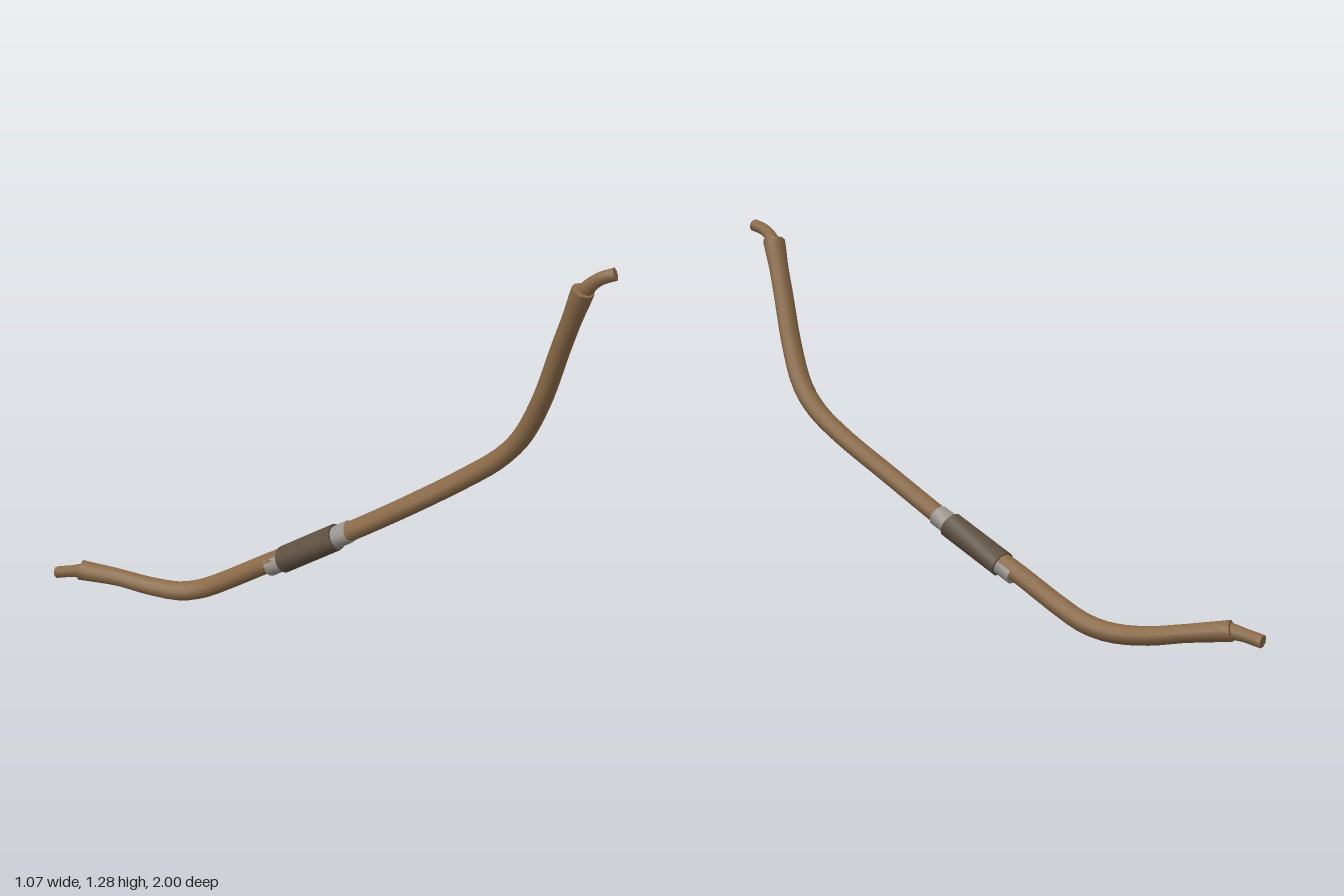
import * as THREE from 'three';

const V = (x, y, z) => new THREE.Vector3(x, y, z);
// sideways direction, square to the plane in which the limbs bend
const SIDE = V(0.74, 0.34, -0.59).normalize();

// Lofts an oval section along a curve; sizes holds [u, width, thickness] stops.
function loft(curve, sizes, steps, sides) {
  const pos = [], idx = [], caps = [];
  for (let i = 0; i <= steps; i++) {
    const u = i / steps;
    const p = curve.getPointAt(u), d = curve.getTangentAt(u);
    const n = SIDE.clone().addScaledVector(d, -SIDE.dot(d)).normalize();
    const t = d.clone().cross(n);
    let k = 0;
    while (k < sizes.length - 2 && u > sizes[k + 1][0]) k++;
    const [a, b] = [sizes[k], sizes[k + 1]];
    const f = (u - a[0]) / (b[0] - a[0]);
    const w = THREE.MathUtils.lerp(a[1], b[1], f) / 2, h = THREE.MathUtils.lerp(a[2], b[2], f) / 2;
    const ring = [];
    for (let j = 0; j < sides; j++) {
      const g = j / sides * Math.PI * 2;
      const q = p.clone().addScaledVector(n, Math.cos(g) * w).addScaledVector(t, Math.sin(g) * h);
      ring.push(q);
      pos.push(q.x, q.y, q.z);
      if (i < steps) {
        const A = i * sides + j, B = i * sides + (j + 1) % sides;
        idx.push(A, B, B + sides, A, B + sides, A + sides);
      }
    }
    if (i === 0 || i === steps) caps.push({ p, ring });
  }
  // flat ends with their own vertices
  caps.forEach(({ p, ring }, e) => {
    const c = pos.length / 3;
    [p, ...ring].forEach(q => pos.push(q.x, q.y, q.z));
    for (let j = 0; j < sides; j++) {
      const A = c + 1 + j, B = c + 1 + (j + 1) % sides;
      if (e) idx.push(c, A, B); else idx.push(c, B, A);
    }
  });
  const geo = new THREE.BufferGeometry();
  geo.setAttribute('position', new THREE.Float32BufferAttribute(pos, 3));
  geo.setIndex(idx);
  geo.computeVertexNormals();
  return geo;
}

export function createModel() {
  const material = (name, color) => {
    const m = new THREE.MeshStandardMaterial({ color });
    m.name = name;
    return m;
  };
  const wood = material('brown wood', 0x8a6a48);
  const leather = material('dark leather', 0x5e5040);
  const metal = material('grey metal', 0x9c9690);

  const bow = new THREE.Group();
  bow.name = 'bow';
  const add = (name, geo, mat) => {
    const mesh = new THREE.Mesh(geo, mat);
    mesh.name = name;
    bow.add(mesh);
  };

  // curved stave from the low back end to the high front end
  const stave = new THREE.CatmullRomCurve3([
    V(-0.455, 0.095, -0.895), V(-0.348, 0.073, -0.8), V(-0.258, 0.047, -0.7), V(-0.181, 0.039, -0.6),
    V(-0.122, 0.058, -0.53), V(-0.074, 0.097, -0.45), V(0.015, 0.187, -0.275), V(0.093, 0.254, -0.137),
    V(0.157, 0.315, -0.02), V(0.271, 0.436, 0.2), V(0.385, 0.557, 0.395), V(0.437, 0.633, 0.51),
    V(0.461, 0.71, 0.595), V(0.467, 0.84, 0.69), V(0.466, 1.03, 0.79), V(0.465, 1.21, 0.89),
  ]);
  add('stave', loft(stave, [
    [0, 0.092, 0.07], [0.02, 0.085, 0.066], [0.06, 0.076, 0.06], [0.2, 0.088, 0.068], [0.4, 0.093, 0.066],
    [0.65, 0.094, 0.066], [0.8, 0.09, 0.067], [0.96, 0.086, 0.065], [0.98, 0.094, 0.072], [1, 0.098, 0.075],
  ], 64, 12), wood);

  // wrapped grip with a metal band at each end
  const center = V(0.093, 0.252, -0.137), axis = V(0.446, 0.43, 0.785).normalize();
  const straight = (a, b, w, h) => loft(
    new THREE.LineCurve3(center.clone().addScaledVector(axis, a), center.clone().addScaledVector(axis, b)),
    [[0, w, h], [1, w, h]], 1, 12);
  add('grip', straight(-0.12, 0.12, 0.12, 0.092), leather);
  add('lowerBand', straight(-0.18, -0.12, 0.101, 0.076), metal);
  add('upperBand', straight(0.12, 0.18, 0.101, 0.076), metal);

  // short string pegs at the tips
  const peg = [[0, 0.06, 0.056], [0.5, 0.048, 0.044], [1, 0.048, 0.044]];
  add('upperPeg', loft(new THREE.CatmullRomCurve3([
    V(0.465, 1.19, 0.88), V(0.47, 1.222, 0.91), V(0.486, 1.248, 0.945), V(0.513, 1.263, 0.985),
  ]), peg, 8, 8), wood);
  add('lowerPeg', loft(new THREE.CatmullRomCurve3([
    V(-0.445, 0.095, -0.88), V(-0.475, 0.089, -0.92), V(-0.515, 0.077, -0.983),
  ]), peg, 6, 8), wood);

  return bow;
}
